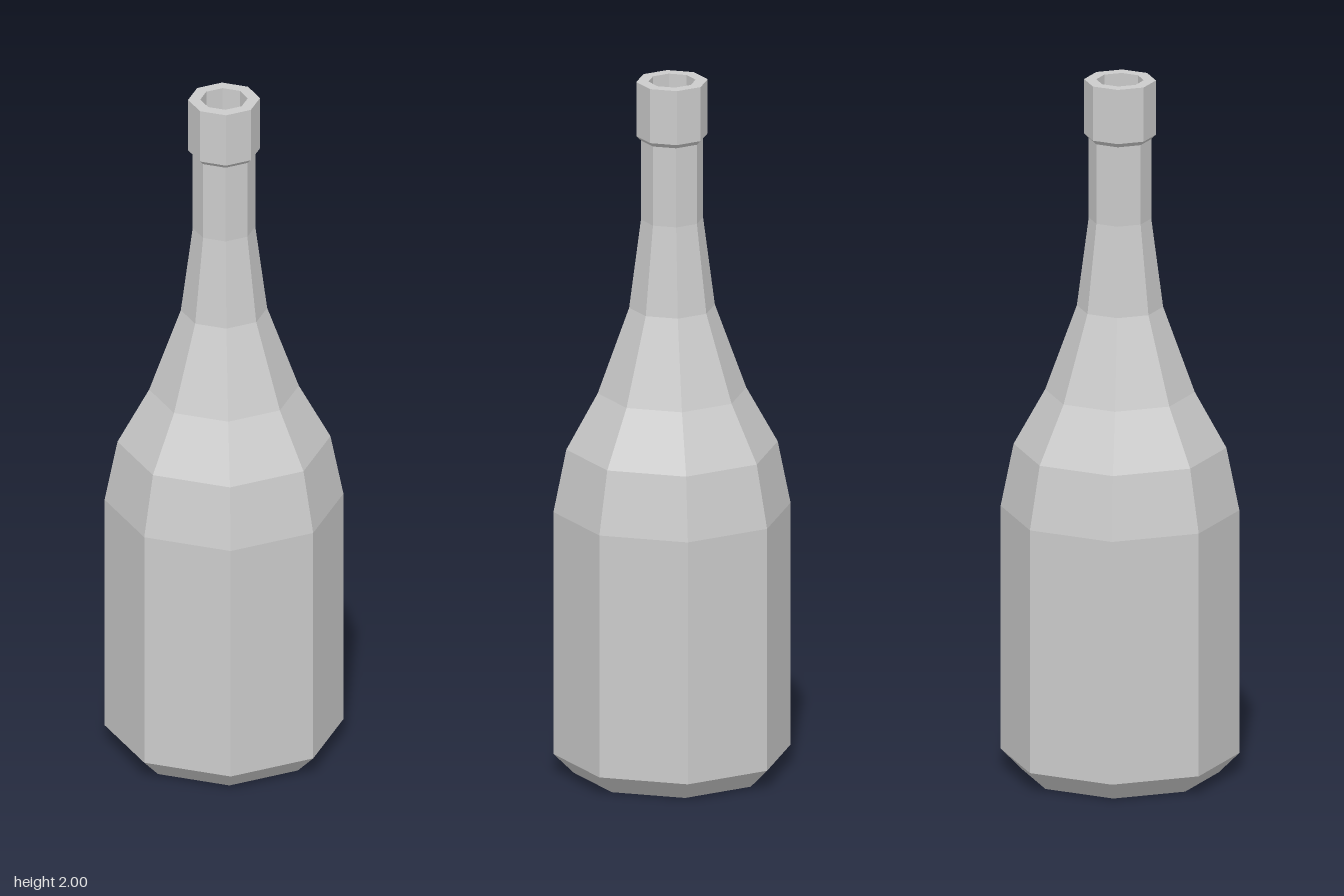
import * as THREE from 'three';

const SIDES = 8;

export function createModel() {
  const group = new THREE.Group();
  group.name = 'bottle';
  const material = new THREE.MeshStandardMaterial({ color: 0xcccccc, flatShading: true });

  // Revolves a [radius, height] profile into an eight-sided part
  const addLathe = (name, profile) => {
    const points = profile.map(([r, y]) => new THREE.Vector2(r, y));
    const mesh = new THREE.Mesh(new THREE.LatheGeometry(points, SIDES), material);
    mesh.name = name;
    group.add(mesh);
  };

  // Base with chamfered foot, straight body, shoulder and tapering neck
  addLathe('body', [
    [0, 0], [0.275, 0], [0.332, 0.057], [0.332, 0.76], [0.296, 0.94],
    [0.208, 1.1], [0.12, 1.345], [0.087, 1.6], [0.087, 1.83],
  ]);

  // Collar around the mouth, with the hollow opening
  addLathe('lip', [
    [0.087, 1.83], [0.1, 1.843], [0.1, 2], [0.066, 2], [0.066, 1.85], [0, 1.85],
  ]);

  return group;
}
